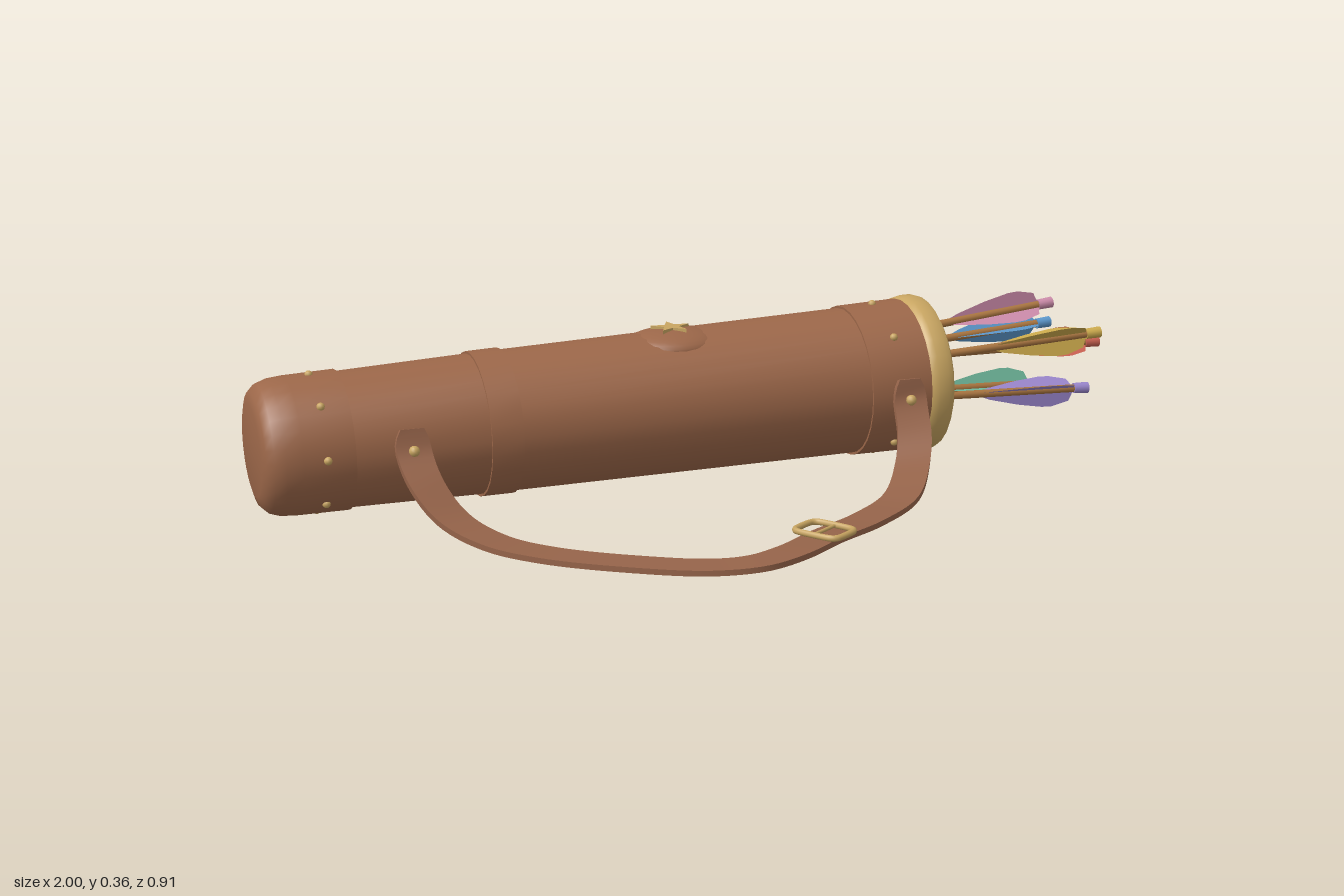
import * as THREE from 'three';
import { toCreasedNormals } from 'three/addons/utils/BufferGeometryUtils.js';

const mat = (name, color, side = THREE.FrontSide) => {
  const m = new THREE.MeshStandardMaterial({ color, side });
  m.name = name;
  return m;
};

export function createModel() {
  const root = new THREE.Group();
  root.name = 'quiver';
  const leather = mat('leather', 0x9c6749);
  const brass = mat('brass', 0xc8a561);
  const wood = mat('wood', 0xa8743f);

  const add = (parent, name, geo, material, x = 0, y = 0, z = 0) => {
    const m = new THREE.Mesh(geo, material);
    m.name = name;
    m.position.set(x, y, z);
    parent.add(m);
    return m;
  };
  // Lathe turned to lie along +x; points are [radius, distance from the base]
  const lathe = (pts) => toCreasedNormals(
    new THREE.LatheGeometry(pts.map(p => new THREE.Vector2(...p)), 28).rotateZ(-Math.PI / 2), 0.6);

  // Case: slightly tapered tube resting on its side
  const quiverCase = new THREE.Group();
  quiverCase.name = 'case';
  quiverCase.position.set(-1, 0.153, -0.28);
  quiverCase.rotation.z = 0.0183;
  root.add(quiverCase);

  add(quiverCase, 'tube', lathe([
    [0.145, 0.15], [0.153, 0.48], [0.158, 0.48], [0.159, 0.55], [0.154, 0.55],
    [0.165, 1.35], [0.168, 1.52], [0.147, 1.52], [0.142, 0.9], [0, 0.9]]), leather);
  add(quiverCase, 'endCap', lathe([
    [0, 0], [0.1, 0], [0.122, 0.006], [0.138, 0.022], [0.146, 0.045],
    [0.149, 0.08], [0.151, 0.19], [0.144, 0.19]]), leather);
  add(quiverCase, 'collar', lathe([
    [0.163, 1.35], [0.17, 1.35], [0.173, 1.5], [0.165, 1.5]]), leather);
  add(quiverCase, 'rim', lathe([
    [0.15, 1.488], [0.17, 1.488], [0.176, 1.494], [0.179, 1.507], [0.179, 1.53], [0.174, 1.543],
    [0.164, 1.549], [0.154, 1.543], [0.149, 1.53], [0.147, 1.507], [0.15, 1.488]]), brass);

  // Rivet rings on the end cap and collar
  for (const [x, r] of [[0.13, 0.149], [1.42, 0.171]]) {
    for (let i = 0; i < 8; i++) {
      const a = i * Math.PI / 4;
      add(quiverCase, 'rivet', new THREE.SphereGeometry(0.009, 10, 8), brass,
        x, r * Math.cos(a), r * Math.sin(a));
    }
  }

  // Raised patch with a star on top
  const patch = add(root, 'patch', new THREE.SphereGeometry(1, 28, 16), leather, -0.06, 0.3, -0.28);
  patch.scale.set(0.115, 0.036, 0.088);
  const star = new THREE.Shape();
  for (let i = 0; i < 10; i++) {
    const r = i % 2 ? 0.018 : 0.045, a = i * Math.PI / 5 + 0.1;
    star[i ? 'lineTo' : 'moveTo'](r * Math.sin(a), r * Math.cos(a));
  }
  star.closePath();
  add(root, 'star', new THREE.ExtrudeGeometry(star, { depth: 0.009, bevelEnabled: false })
    .rotateX(-Math.PI / 2), brass, -0.065, 0.331, -0.28);

  // Strap: flat band swept from one tab, over the ground, to the other tab
  const path = new THREE.CatmullRomCurve3([
    [-0.692, 0.207, -0.13], [-0.692, 0.16, -0.118], [-0.68, 0.1, -0.06], [-0.645, 0.045, 0.01],
    [-0.585, 0.016, 0.1], [-0.5, 0.008, 0.195], [-0.34, 0.009, 0.325], [-0.22, 0.011, 0.395],
    [-0.13, 0.014, 0.412], [-0.04, 0.014, 0.375], [0.07, 0.012, 0.295], [0.2, 0.009, 0.21],
    [0.32, 0.016, 0.11], [0.39, 0.05, 0.01], [0.422, 0.1, -0.05], [0.433, 0.165, -0.1],
    [0.433, 0.215, -0.108]].map(p => new THREE.Vector3(...p)));
  const N = 110, pos = [], idx = [];
  for (let i = 0; i <= N; i++) {
    const t = i / N, p = path.getPointAt(t), d = path.getTangentAt(t);
    const dz = d.z + Math.abs(d.y) * (t < 0.5 ? 1 : -1);
    const side = new THREE.Vector3(dz, 0, -d.x).normalize();
    const up = new THREE.Vector3().crossVectors(d, side).normalize();
    const e = Math.min(1, 0.25 + Math.min(i, N - i) / 4); // rounded ends
    const w = 0.038 * Math.sqrt(1 - (1 - e) ** 2);
    for (const [u, v] of [[-1, -1], [1, -1], [1, 1], [-1, 1]]) {
      pos.push(...p.clone().addScaledVector(side, u * w).addScaledVector(up, v * 0.006).toArray());
    }
    if (i === N) continue;
    for (let k = 0; k < 4; k++) {
      const a = i * 4 + k, b = i * 4 + (k + 1) % 4;
      idx.push(a, b, b + 4, a, b + 4, a + 4);
    }
  }
  const last = N * 4;
  idx.push(0, 2, 1, 0, 3, 2, last, last + 1, last + 2, last, last + 2, last + 3);
  const band = new THREE.BufferGeometry();
  band.setAttribute('position', new THREE.Float32BufferAttribute(pos, 3));
  band.setIndex(idx);
  const strapLeather = mat('strap leather', 0x96644a, THREE.DoubleSide);
  add(root, 'strap', toCreasedNormals(band, 0.7), strapLeather);
  add(root, 'strapRivet', new THREE.SphereGeometry(0.012, 12, 8), brass, -0.692, 0.163, -0.112);
  add(root, 'strapRivet', new THREE.SphereGeometry(0.012, 12, 8), brass, 0.433, 0.17, -0.094);

  // Buckle: rounded frame with a bar and a prong
  const buckle = new THREE.Group();
  buckle.name = 'buckle';
  buckle.position.set(0.065, 0.026, 0.293);
  buckle.rotation.y = 0.58;
  root.add(buckle);
  const loop = [];
  for (const [sx, sz, a0] of [[1, 1, 0], [-1, 1, 1], [-1, -1, 2], [1, -1, 3]]) {
    for (let k = 0; k <= 3; k++) {
      const a = (a0 + k / 3) * Math.PI / 2;
      loop.push(new THREE.Vector3(sx * 0.022 + 0.018 * Math.cos(a), 0, sz * 0.036 + 0.018 * Math.sin(a)));
    }
  }
  add(buckle, 'buckleFrame', new THREE.TubeGeometry(
    new THREE.CatmullRomCurve3(loop, true), 64, 0.007, 8, true), brass);
  add(buckle, 'buckleProng', new THREE.CylinderGeometry(0.004, 0.004, 0.08, 8)
    .rotateZ(Math.PI / 2), brass);

  // Arrows: nock x,y,z; foot y,z; roll of the vanes in degrees
  const arrows = [
    ['pink', 0xca8aa8, 0.87, 0.317, -0.28, 0.22, -0.28, 0],
    ['yellow', 0xccaa4c, 0.945, 0.262, -0.18, 0.195, -0.24, 75],
    ['blue', 0x5c98cc, 0.92, 0.243, -0.385, 0.195, -0.32, 30],
    ['red', 0xcc6252, 1.0, 0.21, -0.29, 0.225, -0.283, 0],
    ['violet', 0x9a86cc, 0.91, 0.137, -0.165, 0.155, -0.24, 60],
    ['green', 0x70b89c, 0.89, 0.103, -0.355, 0.15, -0.305, 140]];
  const vane = new THREE.Shape([[0.005, -0.27], [0.016, -0.24], [0.032, -0.17], [0.041, -0.11],
    [0.041, -0.085], [0.03, -0.045], [0.005, -0.035]].map(p => new THREE.Vector2(...p)));
  for (const [name, color, x, y, z, fy, fz, roll] of arrows) {
    const feather = mat(name, color, THREE.DoubleSide);
    const arrow = new THREE.Group();
    arrow.name = name + 'Arrow';
    const tip = new THREE.Vector3(x, y, z);
    const dir = tip.clone().sub(new THREE.Vector3(-0.1, fy, fz));
    const len = dir.length();
    arrow.position.copy(tip);
    arrow.quaternion.setFromUnitVectors(new THREE.Vector3(0, 1, 0), dir.normalize());
    add(arrow, 'shaft', new THREE.CylinderGeometry(0.009, 0.009, len - 0.03, 12), wood, 0, -len / 2 - 0.015);
    add(arrow, 'nock', new THREE.CylinderGeometry(0.013, 0.012, 0.035, 12), feather, 0, -0.0175);
    for (let k = 0; k < 3; k++) {
      add(arrow, 'vane', new THREE.ShapeGeometry(vane), feather)
        .rotation.y = Math.PI - THREE.MathUtils.degToRad(roll + k * 120);
    }
    root.add(arrow);
  }
  return root;
}
